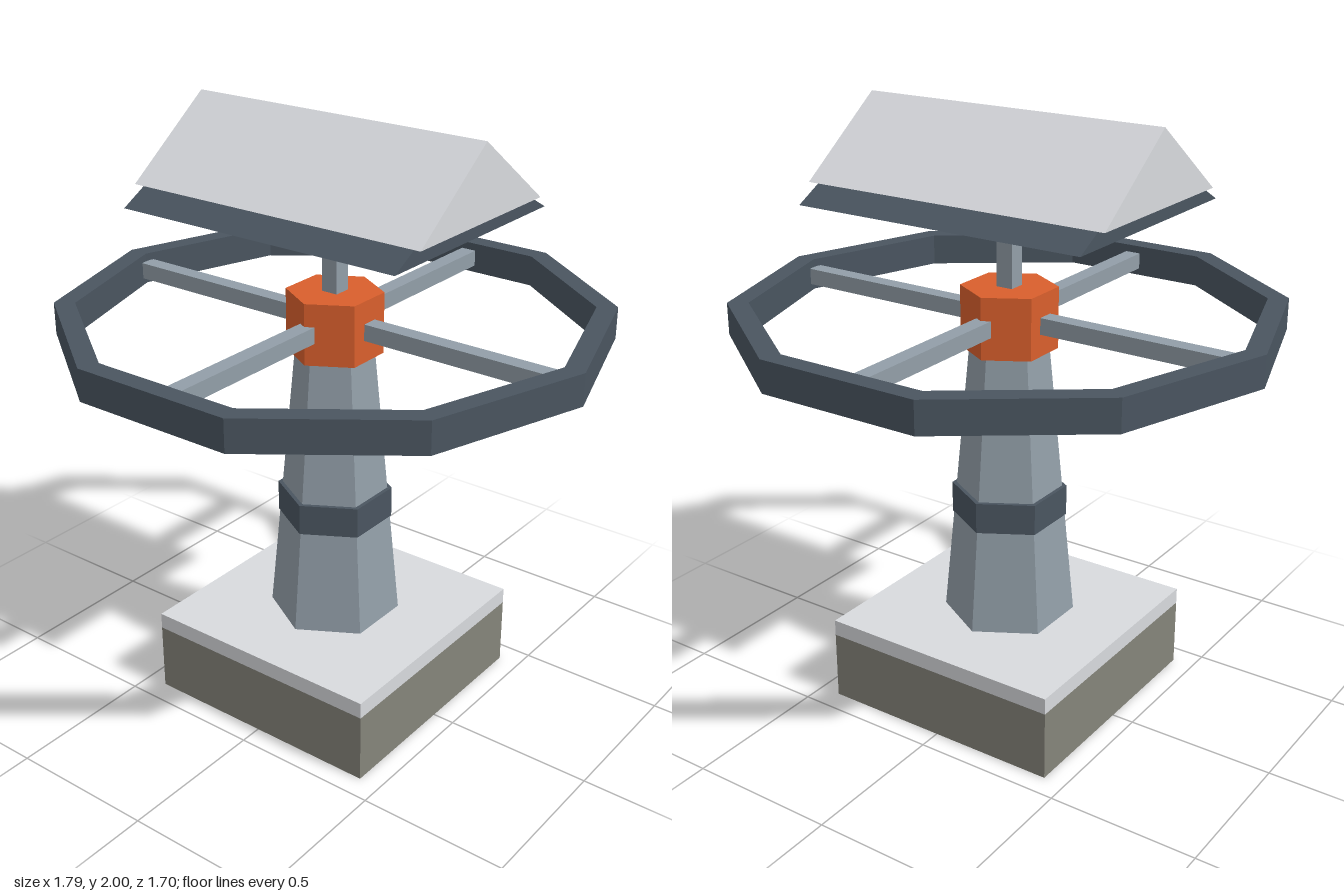
import * as THREE from 'three';

const mat = (name, color) => {
  const m = new THREE.MeshStandardMaterial({ color, flatShading: true });
  m.name = name;
  return m;
};

export function createModel() {
  const concrete = mat('concrete', 0x85847a);
  const white = mat('offWhite', 0xd8dade);
  const steel = mat('greySteel', 0x929ea8);
  const dark = mat('darkSteel', 0x4a5560);
  const orange = mat('orange', 0xd95f2c);

  const model = new THREE.Group();
  model.name = 'valveWheelPost';

  const add = (name, geometry, material, x = 0, y = 0, z = 0) => {
    const mesh = new THREE.Mesh(geometry, material);
    mesh.name = name;
    mesh.position.set(x, y, z);
    model.add(mesh);
    return mesh;
  };
  const box = (name, material, w, y0, y1, d) =>
    add(name, new THREE.BoxGeometry(w, y1 - y0, d), material, 0, (y0 + y1) / 2, 0);
  const hex = (name, material, rTop, rBottom, y0, y1) =>
    add(name, new THREE.CylinderGeometry(rTop, rBottom, y1 - y0, 6), material, 0, (y0 + y1) / 2, 0);

  // Square foundation with a pale cap
  box('foundation', concrete, 0.85, 0, 0.235, 0.85);
  box('foundationCap', white, 0.85, 0.235, 0.29, 0.85);

  // Tapered six-sided post, collar and hub
  hex('post', steel, 0.13, 0.22, 0.29, 1.235);
  hex('collar', dark, 0.191, 0.191, 0.645, 0.75);
  hex('hub', orange, 0.157, 0.157, 1.235, 1.44);

  // Ten-sided wheel rim, extruded flat and laid down
  const polygon = (r) => Array.from({ length: 10 }, (_, i) => {
    const a = (i / 10) * Math.PI * 2;
    return new THREE.Vector2(r * Math.cos(a), r * Math.sin(a));
  });
  const rimShape = new THREE.Shape(polygon(0.893));
  rimShape.holes.push(new THREE.Path(polygon(0.825)));
  const rim = new THREE.ExtrudeGeometry(rimShape, { depth: 0.105, bevelEnabled: false });
  rim.rotateX(-Math.PI / 2);
  add('wheelRim', rim, dark, 0, 1.285, 0);

  // Four spokes from the hub to the rim
  for (let i = 0; i < 4; i++) {
    const end = i % 2 ? 0.79 : 0.82;
    const spoke = new THREE.BoxGeometry(end - 0.1, 0.055, 0.055);
    spoke.translate((end + 0.1) / 2, 0, 0);
    add('spoke', spoke, steel, 0, 1.337, 0).rotation.y = (i * Math.PI) / 2;
  }

  // Mast carrying the roof
  box('mast', steel, 0.058, 1.43, 1.72, 0.058);

  // Gabled prisms with the ridge along x
  const gable = (name, material, halfDepth, y0, y1, length) => {
    const shape = new THREE.Shape([
      new THREE.Vector2(-halfDepth, 0),
      new THREE.Vector2(halfDepth, 0),
      new THREE.Vector2(0, y1 - y0),
    ]);
    const geometry = new THREE.ExtrudeGeometry(shape, { depth: length, bevelEnabled: false });
    geometry.translate(0, 0, -length / 2);
    geometry.rotateY(Math.PI / 2);
    add(name, geometry, material, 0, y0, 0);
  };
  gable('roofUnderside', dark, 0.4, 1.71, 1.93, 1.014);
  gable('roof', white, 0.32, 1.763, 2, 1.07);

  return model;
}
